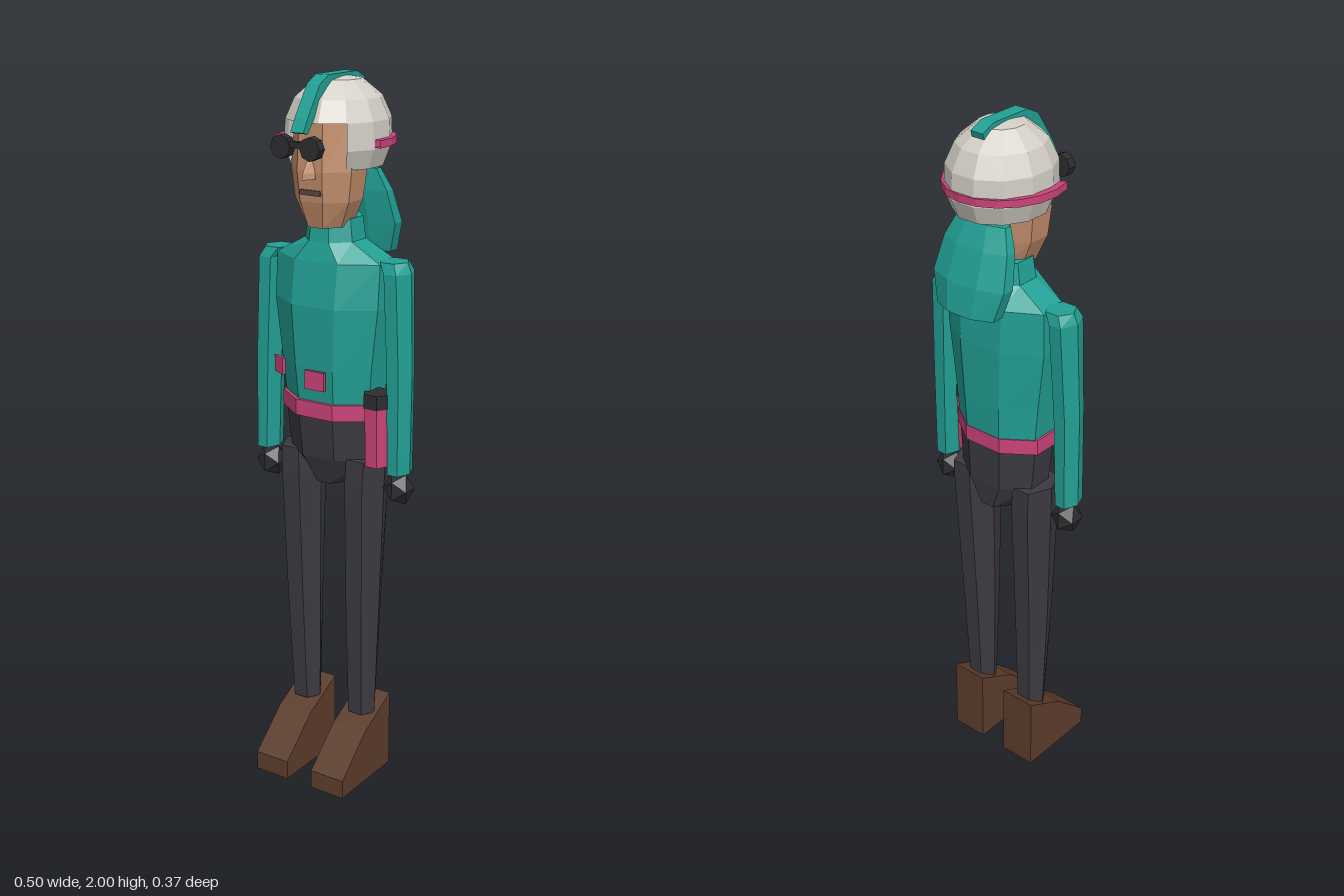
import * as THREE from 'three';

const mat = (name, color, side = THREE.FrontSide) => {
  const m = new THREE.MeshStandardMaterial({ color, flatShading: true, side });
  m.name = name;
  return m;
};

// Closed low-poly body through elliptical rings [y, xCentre, halfWidth, zBack, zFront]
function loft(rings, n, turn = 0.5) {
  const pos = [], idx = [];
  const angles = Array.from({ length: n }, (_, i) => ((i + turn) / n) * Math.PI * 2);
  const mx = Math.max(...angles.map((a) => Math.abs(Math.sin(a))));
  const mz = Math.max(...angles.map((a) => Math.abs(Math.cos(a))));
  for (const [y, cx, w, z0, z1] of rings) {
    for (const a of angles) {
      pos.push(cx + (Math.sin(a) / mx) * w, y, (z0 + z1) / 2 + ((Math.cos(a) / mz) * (z1 - z0)) / 2);
    }
  }
  const last = (rings.length - 1) * n;
  for (let i = 0; i < n; i++) {
    const j = (i + 1) % n;
    for (let r = 0; r < last; r += n) idx.push(r + i, r + j, r + n + j, r + i, r + n + j, r + n + i);
    if (i > 0 && i < n - 1) idx.push(0, i + 1, i, last, last + i, last + i + 1);
  }
  const g = new THREE.BufferGeometry();
  g.setAttribute('position', new THREE.Float32BufferAttribute(pos, 3));
  g.setIndex(idx);
  g.computeVertexNormals();
  return g;
}

// Side profile of [z, y] points, extruded across x
function sideProfile(points, width) {
  const shape = new THREE.Shape(points.map(([z, y]) => new THREE.Vector2(z, y)));
  return new THREE.ExtrudeGeometry(shape, { depth: width, bevelEnabled: false })
    .translate(0, 0, -width / 2).rotateY(-Math.PI / 2);
}

const lathe = (points, seg, start, length) => new THREE.LatheGeometry(
  points.map(([r, y]) => new THREE.Vector2(r, y)), seg, THREE.MathUtils.degToRad(start), THREE.MathUtils.degToRad(length));

export function createModel() {
  const root = new THREE.Group();
  const teal = mat('teal cloth', 0x22a094);
  const pink = mat('pink trim', 0xcb4379, THREE.DoubleSide);
  const trousers = mat('charcoal cloth', 0x3c3a41);
  const black = mat('black leather', 0x2d2d31);
  const brown = mat('brown leather', 0x5c3d2c);
  const skin = mat('skin', 0xc48e6c);
  const shell = mat('helmet shell', 0xd3cfc6, THREE.DoubleSide);
  const lips = mat('mouth', 0x55494a);

  const add = (name, geo, material, x = 0, y = 0, z = 0) => {
    const m = new THREE.Mesh(geo, material);
    m.name = name;
    m.position.set(x, y, z);
    root.add(m);
    return m;
  };

  // Torso with sloped shoulders and a high collar
  add('torso', loft([
    [1.12, 0, 0.135, -0.095, 0.095], [1.23, 0, 0.145, -0.1, 0.105], [1.4, 0, 0.165, -0.105, 0.11],
    [1.52, 0, 0.165, -0.1, 0.093], [1.57, 0, 0.075, -0.08, 0.08], [1.63, 0, 0.067, -0.075, 0.072],
  ], 8), teal);
  add('hips', loft([
    [0.89, 0, 0.05, -0.08, 0.06], [0.97, 0, 0.125, -0.09, 0.085], [1.1, 0, 0.135, -0.093, 0.098],
  ], 8), trousers);
  add('belt', loft([[1.09, 0, 0.143, -0.097, 0.106], [1.135, 0, 0.143, -0.097, 0.106]], 8), pink);

  // Limbs, mirrored
  for (const s of [1, -1]) {
    const side = s > 0 ? 'left' : 'right';
    add(side + 'Boot', sideProfile(
      [[-0.06, 0], [0.188, 0], [0.188, 0.055], [0.07, 0.16], [-0.06, 0.228]], 0.108), brown, s * 0.096);
    add(side + 'Leg', loft([
      [0.19, s * 0.095, 0.044, -0.03, 0.042], [0.53, s * 0.1, 0.052, -0.045, 0.058],
      [0.9, s * 0.105, 0.057, -0.066, 0.07], [0.975, s * 0.108, 0.057, -0.066, 0.066],
    ], 6), trousers);
    add(side + 'Arm', loft([
      [0.95, s * 0.217, 0.032, -0.03, 0.05], [1.23, s * 0.213, 0.036, -0.035, 0.047],
      [1.5, s * 0.201, 0.038, -0.046, 0.047], [1.528, s * 0.185, 0.042, -0.038, 0.036],
    ], 6), teal);
    const hand = add(side + 'Hand', new THREE.IcosahedronGeometry(0.044, 0), black, s * 0.213, 0.902, 0.008);
    hand.scale.y = 1.12;
  }

  // Head and face
  add('head', loft([
    [1.61, 0, 0.055, -0.04, 0.095], [1.68, 0, 0.085, -0.05, 0.113],
    [1.76, 0, 0.095, -0.06, 0.12], [1.9, 0, 0.088, -0.07, 0.112],
  ], 8), skin);
  add('nose', loft([[1.742, 0, 0.02, 0.09, 0.155], [1.758, 0, 0.018, 0.09, 0.152], [1.8, 0, 0.008, 0.1, 0.122]], 4, 0), skin);
  add('mouth', new THREE.BoxGeometry(0.064, 0.014, 0.009), lips, 0, 1.705, 0.115);

  // Helmet: full dome above, skirt open around the face
  const dome = add('helmetDome', lathe([[0.136, 1.885], [0.112, 1.94], [0.06, 1.985], [0, 1.996]], 12, 45, 360), shell, 0, 0, -0.015);
  const skirt = add('helmetSkirt', lathe([[0.09, 1.768], [0.12, 1.764], [0.139, 1.815], [0.136, 1.885]], 9, 45, 270), shell, 0, 0, -0.015);
  dome.scale.z = skirt.scale.z = 1.11;
  add('helmetCrest', sideProfile([
    [0.175, 1.865], [0.155, 1.9], [0.1, 1.98], [0.06, 2], [-0.07, 2], [-0.108, 1.982],
    [-0.1, 1.955], [0.04, 1.965], [0.1, 1.93], [0.155, 1.86],
  ], 0.04), teal);
  const band = add('helmetBand', lathe(
    [[0.137, 1.82], [0.156, 1.82], [0.156, 1.84], [0.137, 1.84], [0.137, 1.82]], 11, 82, 211), pink);
  band.scale.z = 1.1;

  // Goggles
  for (const s of [1, -1]) {
    const lens = new THREE.CylinderGeometry(0.031, 0.031, 0.025, 8).rotateX(Math.PI / 2);
    add(s > 0 ? 'leftLens' : 'rightLens', lens, black, s * 0.045, 1.828, 0.173);
  }
  add('goggleBridge', new THREE.BoxGeometry(0.05, 0.016, 0.02), black, 0, 1.835, 0.173);

  // Hood hanging behind the neck
  add('hood', loft([
    [1.52, 0, 0.095, -0.185, -0.1], [1.6, 0, 0.118, -0.172, -0.085],
    [1.69, 0, 0.105, -0.14, -0.065], [1.75, 0, 0.08, -0.11, -0.06],
  ], 8), teal);

  // Belt gear and badges
  add('holster', loft([[0.97, 0.163, 0.036, 0.005, 0.072], [1.14, 0.163, 0.038, 0.002, 0.075]], 6), pink);
  add('holsterCap', loft([[1.135, 0.163, 0.041, 0, 0.077], [1.175, 0.163, 0.041, 0, 0.077]], 6), black);
  add('frontBadge', new THREE.BoxGeometry(0.062, 0.052, 0.009), pink, 0.011, 1.2, 0.115);
  const badge = add('sideBadge', new THREE.BoxGeometry(0.05, 0.046, 0.009), pink, -0.133, 1.213, 0.075);
  badge.rotation.y = -0.5;

  return root;
}
